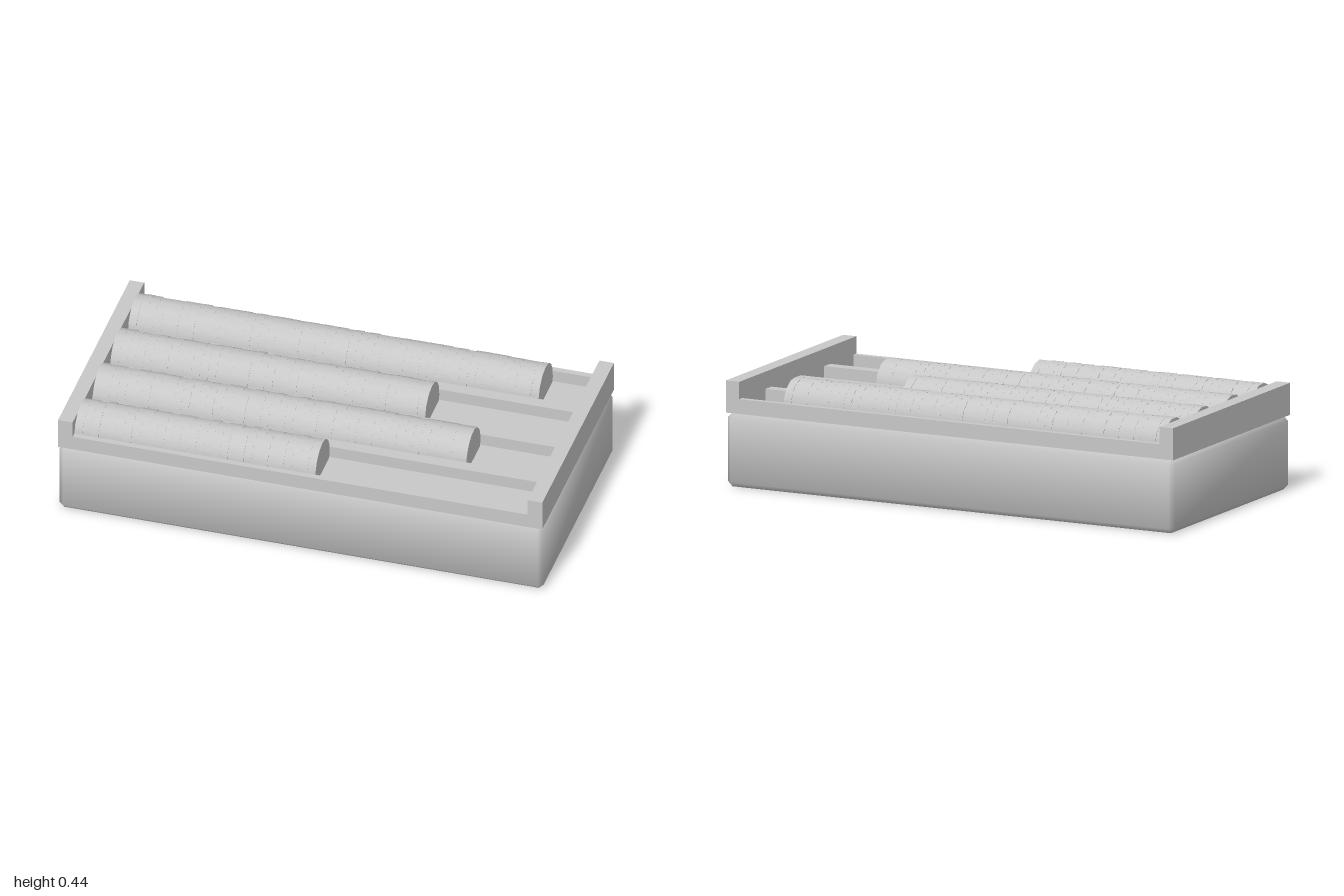
import * as THREE from 'three';
import { mergeGeometries } from 'three/addons/utils/BufferGeometryUtils.js';
import { ConvexGeometry } from 'three/addons/geometries/ConvexGeometry.js';

const LANE_FLOOR = 0.31, RAIL_TOP = 0.36, TRAY_BOTTOM = 0.3;
const WALL = 0.06, INNER = 1 - WALL;

// Small seeded generator, so every coin gets a repeatable turn
function seeded(seed) {
  return () => (seed = (seed * 16807) % 2147483647) / 2147483647;
}

// Box with chamfered edges and soft, blended normals
function chamferedBox(w, h, d, c) {
  const half = [w / 2, h / 2, d / 2];
  const points = [];
  for (let axis = 0; axis < 3; axis++)
    for (const sx of [-1, 1]) for (const sy of [-1, 1]) for (const sz of [-1, 1]) {
      const p = [sx, sy, sz].map((s, i) => s * (half[i] - (i === axis ? 0 : c)));
      points.push(new THREE.Vector3(...p));
    }
  const geometry = new ConvexGeometry(points);
  const pos = geometry.attributes.position, nor = geometry.attributes.normal;
  for (let i = 0; i < pos.count; i++) {
    const p = [pos.getX(i), pos.getY(i), pos.getZ(i)];
    const n = p.map((v, k) => Math.sign(v) * (Math.abs(v) > half[k] - c / 2 ? 1 : 0.39));
    const v = new THREE.Vector3(...n).normalize();
    nor.setXYZ(i, v.x, v.y, v.z);
  }
  return geometry;
}

// Comb-shaped cross-section: four lanes between five rails
function trayGeometry() {
  const shape = new THREE.Shape();
  shape.moveTo(-0.5, TRAY_BOTTOM);
  shape.lineTo(0.5, TRAY_BOTTOM);
  shape.lineTo(0.5, RAIL_TOP);
  for (const z of [0.375, 0.125, -0.125, -0.375]) {
    shape.lineTo(z + 0.1, RAIL_TOP);
    shape.lineTo(z + 0.1, LANE_FLOOR);
    shape.lineTo(z - 0.1, LANE_FLOOR);
    shape.lineTo(z - 0.1, RAIL_TOP);
  }
  shape.lineTo(-0.5, RAIL_TOP);
  shape.closePath();
  const geometry = new THREE.ExtrudeGeometry(shape, { depth: 2 * INNER, bevelEnabled: false });
  return geometry.translate(0, 0, -INNER).rotateY(Math.PI / 2);
}

// Row of many-sided coins, each turned a little differently
function coinRow(length, random) {
  const count = Math.round(length / 0.033), thick = length / count;
  const coins = [];
  for (let i = 0; i < count; i++) {
    const coin = new THREE.CylinderGeometry(0.1, 0.1, thick, 14);
    coin.rotateY(random() * Math.PI * 2).rotateZ(-Math.PI / 2);
    coin.translate((i + 0.5) * thick, 0, (random() - 0.5) * 0.004);
    coins.push(coin);
  }
  return mergeGeometries(coins);
}

export function createModel() {
  const model = new THREE.Group();
  model.name = 'coinTray';
  const grey = new THREE.MeshStandardMaterial({ color: 0xc8c8c8 });
  grey.name = 'light grey';

  const add = (name, geometry, x = 0, y = 0, z = 0) => {
    const mesh = new THREE.Mesh(geometry, grey);
    mesh.name = name;
    mesh.position.set(x, y, z);
    model.add(mesh);
  };

  add('base', chamferedBox(2, 0.3, 1, 0.02), 0, 0.15, 0);
  add('laneTray', trayGeometry());

  // Raised walls at both ends
  for (const side of [-1, 1])
    add(side < 0 ? 'rightEndWall' : 'leftEndWall',
      new THREE.BoxGeometry(WALL, 0.13, 1), side * (1 - WALL / 2), 0.365, 0);

  // Coin rows, all starting at the same wall
  const random = seeded(7);
  const rows = [[-0.375, 0.755], [-0.125, 0.36], [0.125, 0.605], [0.375, 0.055]];
  rows.forEach(([z, end], i) =>
    add(`coinRow${i + 1}`, coinRow(end + INNER, random), -INNER, 0.345, z));

  return model;
}
